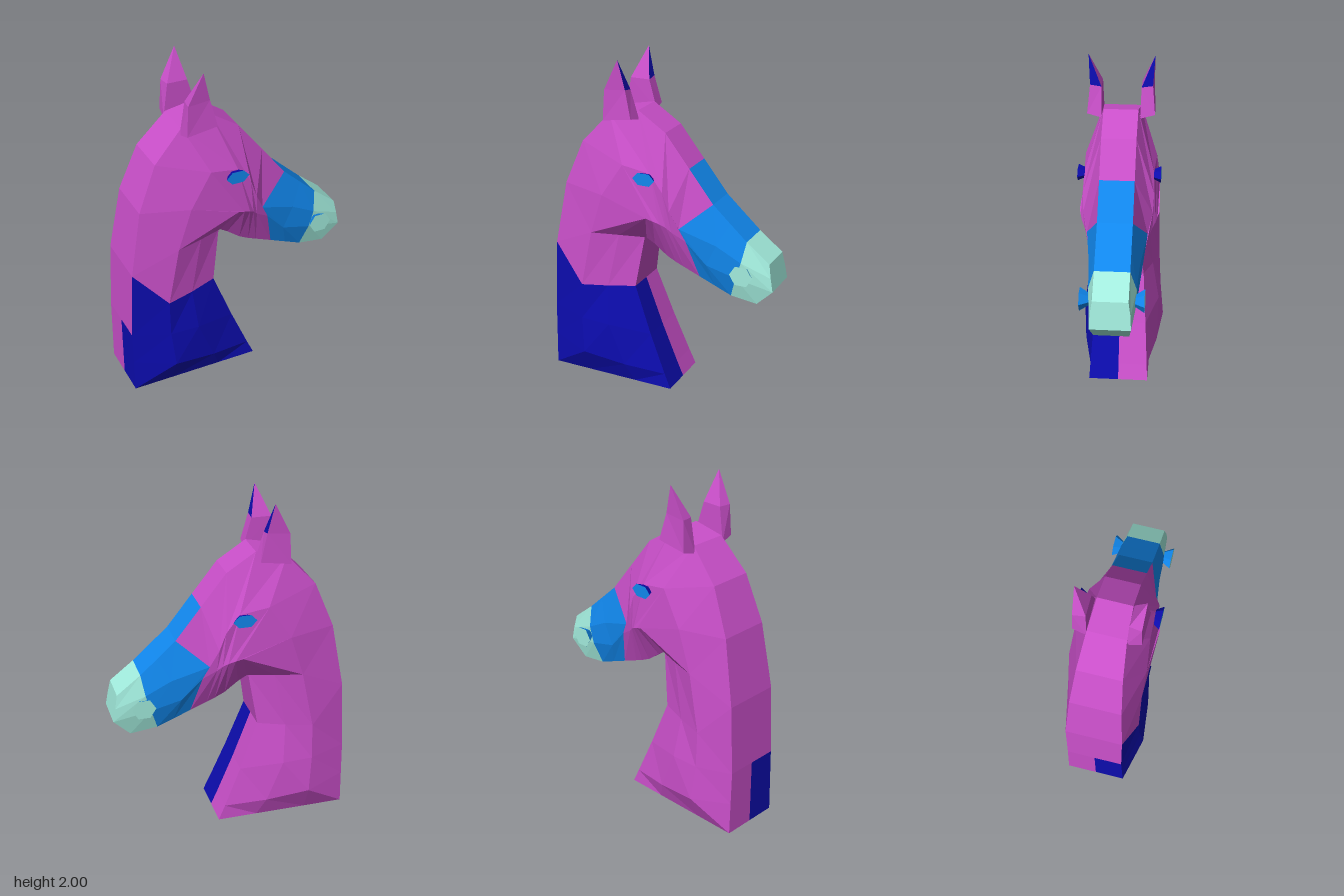
import * as THREE from 'three';

const PINK = 0xc94fc9, NAVY = 0x0c0cae, BLUE = 0x1188ee, AQUA = 0xa2ecdd;
const mat = (color) => new THREE.MeshStandardMaterial({ color, flatShading: true });

// Half cross-sections of each stage: crest edge, upper side, lower side, throat edge
const neck = [
  [[-0.70, 0, 0.18], [-0.46, 0, 0.18], [-0.15, 0, 0.18], [0.09, 0, 0.18]],
  [[-0.70, 0.20, 0.175], [-0.46, 0.16, 0.255], [-0.20, 0.12, 0.225], [0.05, 0.09, 0.175]],
  [[-0.70, 0.40, 0.17], [-0.48, 0.38, 0.235], [-0.30, 0.37, 0.23], [-0.05, 0.33, 0.16]],
  [[-0.68, 0.82, 0.17], [-0.48, 0.60, 0.225], [-0.32, 0.61, 0.19], [-0.16, 0.62, 0.14]],
  [[-0.61, 1.21, 0.15], [-0.41, 0.95, 0.22], [-0.25, 0.945, 0.17], [-0.11, 0.94, 0.11]],
];
const head = [
  [[-0.50, 1.48, 0.13], [-0.33, 1.20, 0.225], [-0.04, 1.11, 0.235], [-0.10, 0.935, 0.11]],
  [[-0.33, 1.66, 0.11], [-0.20, 1.40, 0.21], [0.00, 1.095, 0.225], [-0.05, 0.90, 0.10]],
  [[-0.15, 1.70, 0.10], [-0.03, 1.37, 0.20], [0.04, 1.08, 0.215], [0.03, 0.84, 0.10]],
  [[0.02, 1.59, 0.10], [0.05, 1.27, 0.205], [0.07, 1.06, 0.20], [0.09, 0.81, 0.10]],
  [[0.17, 1.40, 0.10], [0.09, 1.16, 0.20], [0.10, 1.03, 0.185], [0.14, 0.79, 0.10]],
];
const muzzle = [
  [[0.32, 1.21, 0.10], [0.14, 1.055, 0.175], [0.18, 0.98, 0.165], [0.24, 0.75, 0.10]],
  [[0.43, 1.11, 0.10], [0.36, 0.98, 0.145], [0.30, 0.85, 0.145], [0.34, 0.71, 0.10]],
  [[0.53, 1.02, 0.10], [0.51, 0.90, 0.135], [0.48, 0.80, 0.135], [0.44, 0.67, 0.10]],
  [[0.67, 0.91, 0.10], [0.685, 0.83, 0.112], [0.70, 0.75, 0.115], [0.60, 0.65, 0.10]],
];

// Collects flat polygons into one mesh per named part
function makeBuilder() {
  const parts = new Map();
  return {
    // Corners run counter-clockwise on the +z half; side -1 mirrors them
    face(name, color, side, corners) {
      if (!parts.has(name)) parts.set(name, { color, pos: [] });
      const pts = corners.map(([x, y, z]) => [x, y, z * side]);
      if (side < 0) pts.reverse();
      // keep the same diagonal on both halves
      if (side < 0 && pts.length === 4) pts.push(pts.shift());
      for (let i = 1; i < pts.length - 1; i++) {
        parts.get(name).pos.push(...pts[0], ...pts[i], ...pts[i + 1]);
      }
    },
    addTo(group) {
      for (const [name, { color, pos }] of parts) {
        const geo = new THREE.BufferGeometry();
        geo.setAttribute('position', new THREE.Float32BufferAttribute(pos, 3));
        geo.computeVertexNormals();
        const mesh = new THREE.Mesh(geo, mat(color));
        mesh.name = name;
        group.add(mesh);
      }
    },
  };
}

// Which part a panel belongs to; column 0 is the crest strip, 4 the throat strip
function panelPart(k, j, side) {
  if (side > 0 && k < (j === 0 ? 2 : 3)) return ['neckPatch', NAVY];
  if (k < 4) return ['neck', PINK];
  if (k === 9 && j === 0) return ['noseBridge', BLUE];
  if (k < 10) return ['head', PINK];
  return k < 12 ? ['muzzle', BLUE] : ['noseTip', AQUA];
}

function addBody(builder) {
  const flat = ([x, y]) => [x, y, 0];
  const sections = [...neck, ...head, ...muzzle].map((s) => [flat(s[0]), ...s, flat(s[3])]);
  const last = sections.length - 1;
  for (const side of [1, -1]) {
    for (let k = 0; k < last; k++) {
      const lo = sections[k], hi = sections[k + 1];
      for (let j = 0; j < 5; j++) {
        builder.face(...panelPart(k, j, side), side, [lo[j], lo[j + 1], hi[j + 1], hi[j]]);
      }
    }
    // Base and nose end
    for (let j = 1; j < 4; j++) {
      const a = sections[0][j], b = sections[0][j + 1];
      builder.face(...panelPart(0, 1, side), side, [flat(a), flat(b), b, a]);
      const c = sections[last][j], d = sections[last][j + 1];
      builder.face('noseTip', AQUA, side, [c, d, flat(d), flat(c)]);
    }
  }
}

function addEars(builder) {
  // Rings run outer back, outer front, inner front, inner back
  const base = [[-0.33, 1.64, 0.19], [-0.15, 1.67, 0.195], [-0.14, 1.65, 0.11], [-0.34, 1.62, 0.11]];
  const mid = [[-0.32, 1.82, 0.185], [-0.19, 1.83, 0.18], [-0.19, 1.82, 0.115], [-0.31, 1.82, 0.115]];
  const tip = [-0.23, 2.0, 0.19];
  for (const side of [1, -1]) {
    const name = side > 0 ? 'earNear' : 'earFar';
    for (let i = 0; i < 4; i++) {
      const n = (i + 1) % 4;
      builder.face(name, PINK, side, [base[i], base[n], mid[n], mid[i]]);
      // The forward face of the point is dark
      const dark = i === 1;
      builder.face(dark ? 'earInner' : name, dark ? NAVY : PINK, side, [mid[i], mid[n], tip]);
    }
    builder.face(name, PINK, side, [...base].reverse());
  }
}

// Flared six-sided stud used for eyes and nostrils
function addStuds(group, name, x, y, z, squash, sideColor, faceColor) {
  for (const side of [1, -1]) {
    const geo = new THREE.CylinderGeometry(0.07, 0.025, 0.07, 6, 1, false, Math.PI / 2);
    geo.rotateX(side * Math.PI / 2);
    geo.scale(1, squash, 1);
    const mesh = new THREE.Mesh(geo, [mat(sideColor), mat(faceColor), mat(sideColor)]);
    mesh.position.set(x, y, side * z);
    mesh.name = name;
    group.add(mesh);
  }
}

export function createModel() {
  const group = new THREE.Group();
  group.name = 'horseHead';
  const builder = makeBuilder();
  addBody(builder);
  addEars(builder);
  builder.addTo(group);
  addStuds(group, 'eye', -0.05, 1.345, 0.205, 0.6, NAVY, BLUE);
  addStuds(group, 'nostril', 0.53, 0.84, 0.147, 0.93, BLUE, AQUA);
  return group;
}
